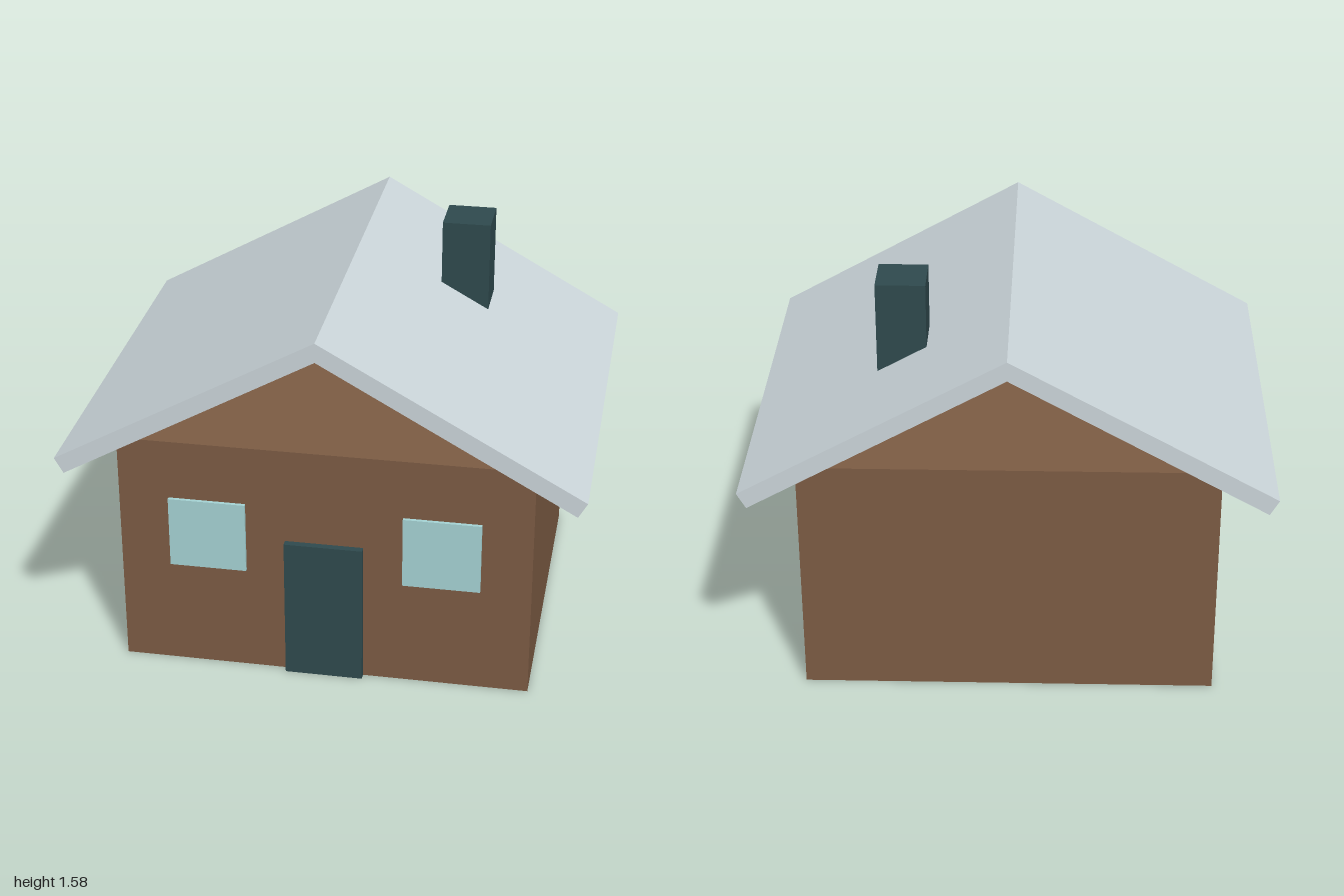
import * as THREE from 'three';

const mat = (color) => new THREE.MeshStandardMaterial({ color, flatShading: true });

export function createModel() {
  const house = new THREE.Group();
  house.name = 'house';
  const brown = mat(0x7d5c44);
  const slate = mat(0x2f4a4e);
  const glass = mat(0xa6d4d5);
  const pale = mat(0xccd6db);

  // Box given by its minimum and maximum corners
  function block(name, material, [x0, y0, z0], [x1, y1, z1]) {
    const mesh = new THREE.Mesh(new THREE.BoxGeometry(x1 - x0, y1 - y0, z1 - z0), material);
    mesh.position.set((x0 + x1) / 2, (y0 + y1) / 2, (z0 + z1) / 2);
    mesh.name = name;
    house.add(mesh);
  }

  // Flat-topped body, open below the gables
  block('walls', brown, [-0.8, 0, -0.69], [0.8, 0.968, 0.69]);

  // Door and windows stand slightly proud of the front wall
  block('door', slate, [-0.152, 0, 0.67], [0.152, 0.58, 0.718]);
  block('leftWindow', glass, [0.305, 0.437, 0.67], [0.605, 0.727, 0.704]);
  block('rightWindow', glass, [-0.605, 0.437, 0.67], [-0.305, 0.727, 0.704]);

  // Chimney passes through the left roof slope
  block('chimney', slate, [0.318, 1.025, -0.372], [0.508, 1.575, -0.18]);

  // Pitched roof: a chevron profile extruded from back to front
  const profile = new THREE.Shape([
    [0, 1.498], [-1, 0.941], [-0.966, 0.881], [0, 1.422], [0.966, 0.881], [1, 0.941],
  ].map(([x, y]) => new THREE.Vector2(x, y)));
  const roof = new THREE.Mesh(
    new THREE.ExtrudeGeometry(profile, { depth: 1.68, bevelEnabled: false }), pale);
  roof.position.z = -0.84;
  roof.name = 'roof';
  house.add(roof);

  return house;
}
